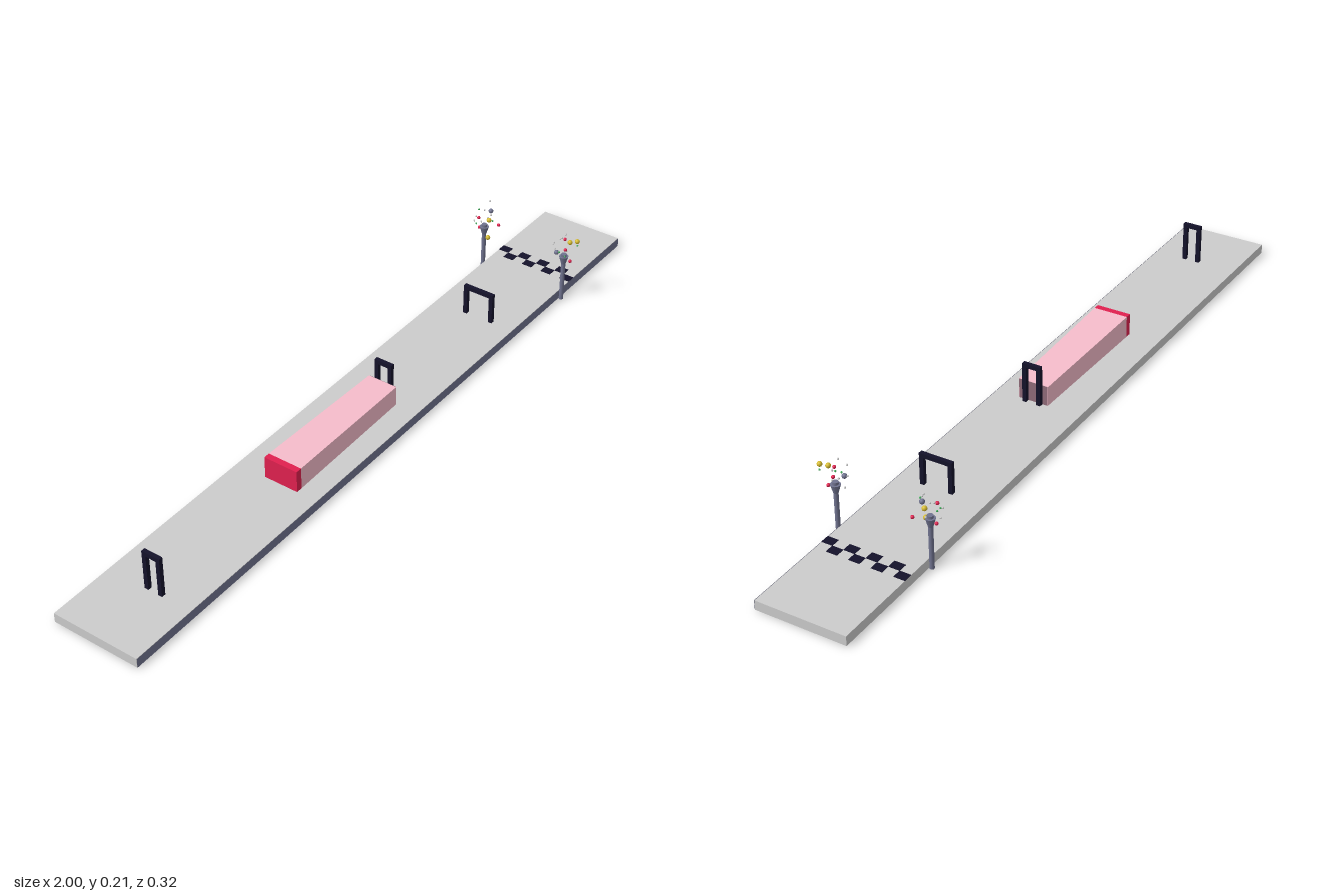
import * as THREE from 'three';

const mat = (color) => new THREE.MeshStandardMaterial({ color });
const grey = mat(0xcccccc), slate = mat(0x70738f), dark = mat(0x14122a);
const pink = mat(0xf6bccb), mauve = mat(0x8f6b78), red = mat(0xe0204f);
const yellow = mat(0xd6bc30), green = mat(0x3fae5a);
pink.flatShading = true;

function add(parent, name, geometry, material, x = 0, y = 0, z = 0) {
  const mesh = new THREE.Mesh(geometry, material);
  mesh.name = name;
  mesh.position.set(x, y, z);
  parent.add(mesh);
  return mesh;
}

// Box given by its minimum and maximum corners
function box(parent, name, material, [x0, y0, z0], [x1, y1, z1]) {
  return add(parent, name, new THREE.BoxGeometry(x1 - x0, y1 - y0, z1 - z0), material,
    (x0 + x1) / 2, (y0 + y1) / 2, (z0 + z1) / 2);
}

const FLOOR = 0.025, HALF = 0.118;

// Square-section arch standing across the track
function gate(parent, name, x, top, z0, z1) {
  const g = new THREE.Group();
  g.name = name;
  const t = 0.011, a = x - t / 2, b = x + t / 2;
  box(g, 'gateLeg', dark, [a, FLOOR, z0], [b, top - t, z0 + t]);
  box(g, 'gateLeg', dark, [a, FLOOR, z1 - t], [b, top - t, z1]);
  box(g, 'gateBeam', dark, [a, top - t, z0], [b, top, z1]);
  parent.add(g);
}

// Confetti as [z, y, radius, material]
const confetti = {
  front: [
    [0.154, 0.184, 0.0065, yellow], [0.138, 0.180, 0.0065, yellow], [0.111, 0.150, 0.0065, slate],
    [0.112, 0.170, 0.0045, red], [0.136, 0.166, 0.0045, red], [0.143, 0.125, 0.0045, red],
    [0.154, 0.170, 0.0025, green], [0.139, 0.150, 0.0025, green], [0.100, 0.168, 0.0025, grey],
    [0.093, 0.163, 0.0025, grey], [0.121, 0.195, 0.0025, grey], [0.114, 0.186, 0.0025, grey],
    [0.104, 0.180, 0.0025, grey], [0.092, 0.141, 0.0025, grey], [0.127, 0.147, 0.0025, grey],
    [0.120, 0.155, 0.0025, green],
  ],
  back: [
    [-0.113, 0.180, 0.0065, slate], [-0.112, 0.156, 0.0065, yellow], [-0.101, 0.116, 0.0065, yellow],
    [-0.093, 0.138, 0.0045, red], [-0.133, 0.166, 0.0045, red], [-0.140, 0.125, 0.0045, red],
    [-0.152, 0.170, 0.0025, green], [-0.136, 0.150, 0.0025, green], [-0.121, 0.205, 0.0025, grey],
    [-0.102, 0.180, 0.0025, grey], [-0.092, 0.168, 0.0025, green], [-0.127, 0.149, 0.0025, grey],
    [-0.144, 0.155, 0.0025, grey], [-0.156, 0.150, 0.0025, grey], [-0.130, 0.179, 0.0025, grey],
    [-0.122, 0.160, 0.0025, grey],
  ],
};

// Post with a flared nozzle and a burst of confetti
function cannon(parent, name, z, bits) {
  const g = new THREE.Group();
  g.name = name;
  const x = 0.69;
  add(g, 'post', new THREE.CylinderGeometry(0.0058, 0.0058, 0.112, 12), slate, x, 0.056, z);
  add(g, 'nozzle', new THREE.CylinderGeometry(0.0125, 0.006, 0.023, 12), slate, x, 0.1225, z);
  add(g, 'nozzleRim', new THREE.CylinderGeometry(0.0075, 0.0075, 0.007, 12), slate, x, 0.1375, z);
  bits.forEach(([bz, y, r, m], i) => {
    const dx = 0.022 * Math.sin(i * 2.4 + 0.6);
    add(g, 'confetti', new THREE.SphereGeometry(r, 12, 8), m, x + dx, y, bz);
  });
  parent.add(g);
}

export function createModel() {
  const model = new THREE.Group();
  model.name = 'trackScene';

  // Long platform with a coloured front edge
  box(model, 'platform', grey, [-1, 0, -HALF], [1, FLOOR, HALF - 0.001]);
  const edge = add(model, 'frontEdge', new THREE.PlaneGeometry(2, FLOOR), slate, 0, FLOOR / 2, HALF);
  edge.material = slate.clone();
  edge.material.side = THREE.DoubleSide;

  // Chequered line: two columns of alternating tiles
  const rows = 8, tile = 2 * HALF / rows, line = new THREE.Group();
  line.name = 'chequeredLine';
  for (let i = 0; i < rows; i++) {
    const x = i % 2 ? 0.737 : 0.761, z = -HALF + i * tile;
    box(line, 'darkTile', dark, [x, FLOOR, z], [x + 0.024, FLOOR + 0.001, z + tile]);
  }
  model.add(line);

  // Gates
  gate(model, 'rearGate', -0.82, 0.133, -0.0125, 0.0375);
  gate(model, 'middleGate', 0.037, 0.133, -0.0125, 0.0375);
  gate(model, 'wideGate', 0.46, 0.11, -0.032, 0.056);

  // Long block, slightly tapered toward +x, with a red end
  const x0 = -0.358, x1 = 0.03, zc = 0.013;
  const body = new THREE.BoxGeometry(x1 - x0, 0.059, 0.094);
  body.translate((x0 + x1) / 2, 0.0295, 0);
  const p = body.attributes.position;
  for (let i = 0; i < p.count; i++) {
    if (p.getX(i) > 0) {
      p.setY(i, p.getY(i) * 0.9);
      p.setZ(i, p.getZ(i) * 0.87);
    }
  }
  body.computeVertexNormals();
  add(model, 'longBlock', body, pink, 0, FLOOR, zc);
  box(model, 'blockEnd', mauve, [x1, FLOOR, zc - 0.04], [x1 + 0.001, FLOOR + 0.053, zc + 0.04]);
  box(model, 'redEnd', red, [-0.375, FLOOR, zc - 0.047], [x0, 0.084, zc + 0.047]);

  // Confetti cannons on both sides of the track
  cannon(model, 'frontCannon', 0.124, confetti.front);
  cannon(model, 'backCannon', -0.124, confetti.back);

  return model;
}
